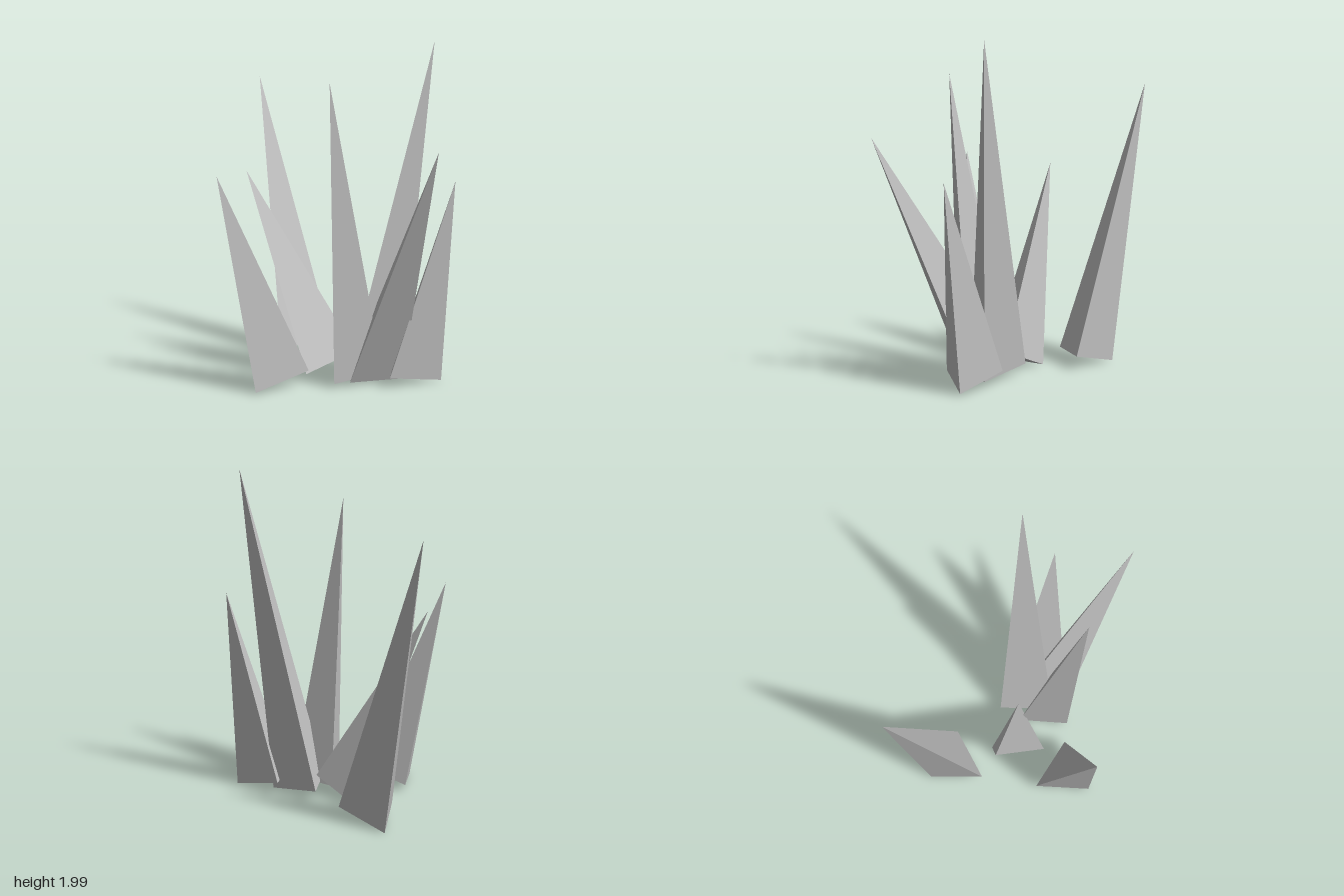
import * as THREE from 'three';

const UP = new THREE.Vector3(0, 1, 0);

// Three-sided spike standing on a tilted base: base centre, tip, base radius
function makeSpike(base, tip, radius, material) {
  const from = new THREE.Vector3(...base);
  const axis = new THREE.Vector3(...tip).sub(from);
  const height = axis.length();
  const geometry = new THREE.ConeGeometry(radius, height, 3);
  geometry.rotateY(Math.PI / 2); // one base corner points to +x
  geometry.translate(0, height / 2, 0);
  const mesh = new THREE.Mesh(geometry, material);
  mesh.quaternion.setFromUnitVectors(UP, axis.normalize());
  mesh.position.copy(from);
  return mesh;
}

export function createModel() {
  const group = new THREE.Group();
  group.name = 'spikeCluster';
  const stone = new THREE.MeshStandardMaterial({ color: 0xbfbfbf, flatShading: true });
  stone.name = 'stoneGrey';

  const spikes = [
    { name: 'backRightSpike', base: [-0.317, 0.057, -0.36], tip: [-0.617, 1.72, -0.674], r: 0.197 },
    { name: 'rightSpike', base: [-0.11, 0.063, 0.032], tip: [-0.6, 1.21, -0.08], r: 0.197 },
    { name: 'frontRightSpike', base: [-0.362, 0.06, 0.333], tip: [-0.663, 1.27, 0.49], r: 0.197 },
    { name: 'middleSpike', base: [0.07, 0.058, 0.195], tip: [-0.036, 1.79, 0.405], r: 0.18 },
    { name: 'tallSpike', base: [0.155, 0.063, 0.08], tip: [0.523, 2, 0.024], r: 0.197 },
    { name: 'frontLeftSpike', base: [0.172, 0.065, 0.145], tip: [0.582, 1.455, 0.668], r: 0.197 },
    { name: 'leftSpike', base: [0.4, 0.06, 0.152], tip: [0.66, 1.22, 0.217], r: 0.197 },
  ];
  for (const s of spikes) {
    const mesh = makeSpike(s.base, s.tip, s.r, stone);
    mesh.name = s.name;
    group.add(mesh);
  }
  return group;
}
